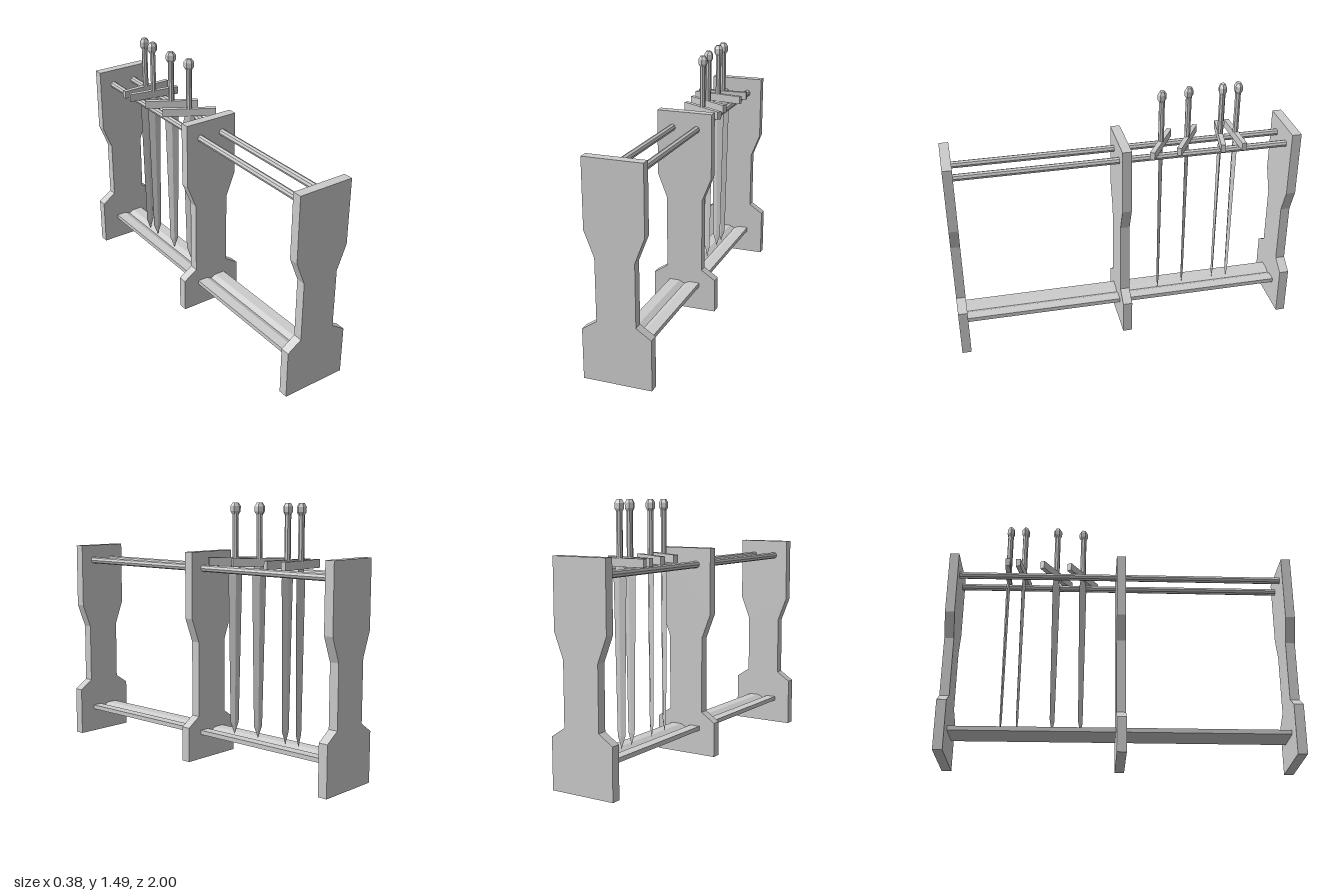
import * as THREE from 'three';

const material = new THREE.MeshStandardMaterial({ color: 0xcccccc, flatShading: true });

function part(name, geometry, x = 0, y = 0, z = 0) {
  const mesh = new THREE.Mesh(geometry, material);
  mesh.name = name;
  mesh.position.set(x, y, z);
  return mesh;
}

// Extrude an outline along z, centred on z = 0
function slab(points, depth) {
  const shape = new THREE.Shape(points.map(([x, y]) => new THREE.Vector2(x, y)));
  return new THREE.ExtrudeGeometry(shape, { depth, bevelEnabled: false }).translate(0, 0, -depth / 2);
}

// Faceted turned shape, corner on the x axis, flattened in z
function turned(profile, sides, flatten) {
  const points = profile.map(([r, y]) => new THREE.Vector2(r, y));
  return new THREE.LatheGeometry(points, sides, Math.PI / 2).scale(1, 1, flatten);
}

// Upright panel: wide base, narrow waist, wide top
function panel(name, shoulder, z) {
  const half = [[0.192, 0], [0.192, shoulder], [0.109, shoulder + 0.055], [0.109, 0.69], [0.164, 0.83], [0.164, 1.21]];
  const mirrored = half.map(([x, y]) => [-x, y]).reverse();
  return part(name, slab([...half, ...mirrored], 0.054), 0, 0, z);
}

// Sword hanging point down
function sword(x, z, turn) {
  const group = new THREE.Group();
  group.name = 'sword';
  group.position.set(x, 0, z);
  group.rotation.y = turn;
  const blade = [[0, 0.17], [0.024, 0.24], [0.04, 1.08], [0.026, 1.14]];
  const pommel = [[0, 1.42], [0.017, 1.42], [0.03, 1.44], [0.03, 1.468], [0.017, 1.487], [0, 1.487]];
  group.add(
    part('blade', turned(blade, 4, 0.28)),
    part('guard', new THREE.BoxGeometry(0.31, 0.046, 0.027), 0, 1.163, 0),
    part('grip', new THREE.CylinderGeometry(0.017, 0.017, 0.25, 8), 0, 1.305, 0),
    part('pommel', turned(pommel, 6, 0.8))
  );
  return group;
}

export function createModel() {
  const model = new THREE.Group();
  model.name = 'swordRack';

  model.add(
    panel('frontPanel', 0.285, 0.973),
    panel('middlePanel', 0.2, 0.003),
    panel('backPanel', 0.285, -0.973)
  );

  // Two rails carry the guards
  for (const side of [-1, 1]) {
    const rail = new THREE.CylinderGeometry(0.02, 0.02, 1.92, 8).rotateX(Math.PI / 2);
    part('rail', rail);
    model.add(part(side > 0 ? 'leftRail' : 'rightRail', rail, side * 0.073, 1.115, 0));
  }

  // Bottom shelf with a groove for the sword points
  const shelf = [[-0.093, 0.145], [0.093, 0.145], [0.093, 0.17], [0.032, 0.17], [0, 0.154], [-0.032, 0.17], [-0.093, 0.17]];
  model.add(part('shelf', slab(shelf, 1.92)));

  const swords = [[0.02, -0.222, -0.55], [0, -0.38, -0.55], [-0.003, -0.575, -0.17], [-0.003, -0.666, 0.03]];
  for (const [x, z, turn] of swords) model.add(sword(x, z, turn));

  return model;
}
